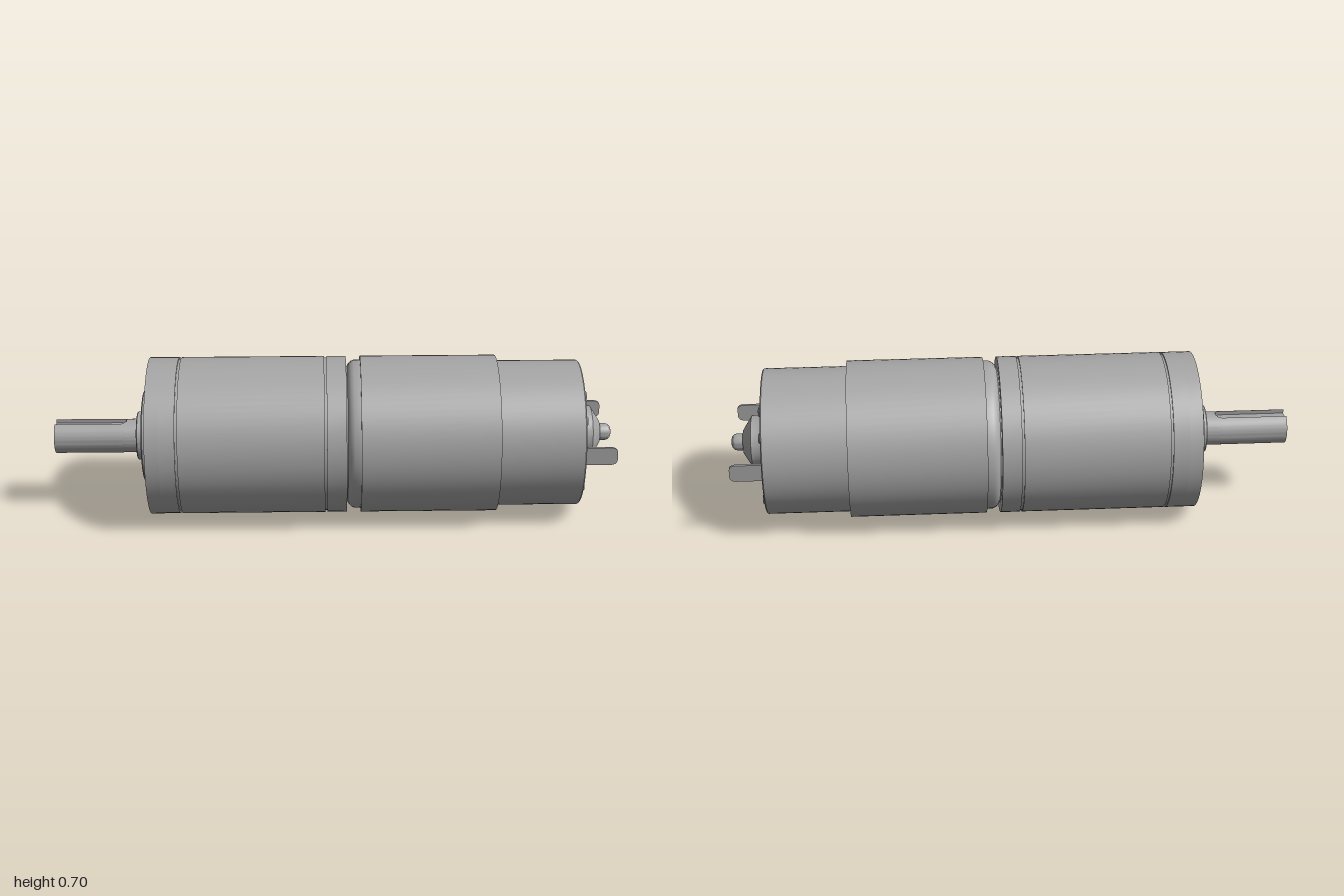
import * as THREE from 'three';
import { toCreasedNormals } from 'three/addons/utils/BufferGeometryUtils.js';

export function createModel() {
  const model = new THREE.Group();
  model.name = 'gearMotor';
  const steel = new THREE.MeshStandardMaterial({ color: 0xa6a6a6 });
  steel.name = 'grey steel';

  // Everything is built along +z (motor end), then turned 45 degrees.
  const axis = new THREE.Group();
  axis.name = 'motorAxis';
  axis.position.y = 0.352;
  axis.rotation.y = Math.PI / 4;
  model.add(axis);

  function add(name, geometry, crease = 0.5) {
    const mesh = new THREE.Mesh(toCreasedNormals(geometry, crease), steel);
    mesh.name = name;
    axis.add(mesh);
    return mesh;
  }
  // Turned part from [radius, z] pairs, z increasing
  function turned(name, pairs, segments = 72) {
    const pts = pairs.map(([r, z]) => new THREE.Vector2(r, z));
    return add(name, new THREE.LatheGeometry(pts, segments).rotateX(Math.PI / 2));
  }
  function extruded(name, shape, z0, z1) {
    const g = new THREE.ExtrudeGeometry(shape, { depth: z1 - z0, bevelEnabled: false, curveSegments: 36 });
    return add(name, g.translate(0, 0, z0));
  }
  const disc = (r) => new THREE.Shape().absarc(0, 0, r, 0, Math.PI * 2, false);
  const hole = (x, y, r) => new THREE.Path().absarc(x, y, r, 0, Math.PI * 2, true);

  // Gearbox mounting plate: four large and four small holes
  const plate = disc(0.35);
  for (let i = 0; i < 4; i++) {
    const a = i * Math.PI / 2, b = a + Math.PI / 4;
    plate.holes.push(hole(0.28 * Math.cos(a), 0.28 * Math.sin(a), 0.058));
    plate.holes.push(hole(0.25 * Math.cos(b), 0.25 * Math.sin(b), 0.034));
  }
  extruded('mountingPlate', plate, -0.912, -0.852);

  // Gearbox housing with two thin seams
  turned('gearbox', [
    [0, -0.852], [0.35, -0.852], [0.35, -0.781], [0.343, -0.781], [0.343, -0.771], [0.35, -0.771],
    [0.35, -0.136], [0.343, -0.136], [0.343, -0.126], [0.35, -0.126], [0.35, -0.04], [0, -0.04],
  ]);

  // Neck between gearbox and motor
  turned('neck', [
    [0.305, -0.045], [0.305, -0.035], [0.316, -0.029], [0.326, -0.02], [0.332, -0.006], [0.333, 0.025],
  ]);

  // Motor can: thick sleeve, then the narrower can with its rim
  turned('motorSleeve', [[0, 0.023], [0.35, 0.023], [0.35, 0.627], [0.32, 0.627]]);
  turned('motorCan', [
    [0.325, 0.62], [0.325, 0.993], [0.321, 0.998], [0.311, 0.998], [0.311, 0.958], [0, 0.958],
  ]);

  // End cap with a pocket for each terminal
  const cap = disc(0.312);
  for (const side of [-1, 1]) {
    const p = new THREE.Path();
    const a = side * 0.24, b = side * 0.295;
    p.moveTo(a, -0.075).lineTo(a, 0.075).lineTo(b, 0.075).lineTo(b, -0.075).closePath();
    cap.holes.push(p);
  }
  extruded('endCap', cap, 0.957, 0.988);

  // Pressed bead on the cap
  turned('capBead', [
    [0.234, 0.987], [0.228, 0.993], [0.218, 0.997], [0.208, 0.997], [0.198, 0.993], [0.192, 0.987],
  ].reverse().map(([r, z]) => [r, z]).reverse());

  // Rivets round the cap
  for (const q of [0, 90, 180, 270]) {
    for (const d of [33, 57]) {
      const a = THREE.MathUtils.degToRad(q + d);
      const rivet = turned('rivet', [[0.025, 0.986], [0.025, 1.0], [0.018, 1.007], [0, 1.009]], 18);
      rivet.position.set(0.284 * Math.cos(a), 0.284 * Math.sin(a), 0);
    }
  }

  // Bearing hub and rounded rear shaft tip
  turned('bearingHub', [
    [0.138, 0.987], [0.124, 1.0], [0.118, 1.012], [0.117, 1.056], [0.108, 1.062],
    [0.075, 1.083], [0.052, 1.097], [0, 1.097],
  ]);
  turned('rearShaftTip', [
    [0.038, 1.09], [0.038, 1.125], [0.034, 1.138], [0.024, 1.147], [0.012, 1.151], [0, 1.152],
  ], 32);

  // Flat terminals
  for (const side of [-1, 1]) {
    const tab = new THREE.Shape();
    tab.moveTo(0.957, -0.04).lineTo(1.115, -0.04).quadraticCurveTo(1.142, -0.038, 1.142, -0.015)
      .lineTo(1.142, 0.015).quadraticCurveTo(1.142, 0.038, 1.115, 0.04).lineTo(0.957, 0.04).closePath();
    const g = new THREE.ExtrudeGeometry(tab, { depth: 0.012, bevelEnabled: false, curveSegments: 6 });
    add('terminal', g.rotateY(-Math.PI / 2).translate(side * 0.265 + 0.006, 0, 0));
  }

  // Output boss with ring groove, and shaft collar
  turned('outputBoss', [
    [0.108, -0.941], [0.145, -0.941], [0.145, -0.931], [0.155, -0.931], [0.155, -0.941],
    [0.2, -0.941], [0.205, -0.936], [0.205, -0.911],
  ]);
  turned('shaftCollar', [
    [0.07, -0.966], [0.088, -0.966], [0.09, -0.972], [0.104, -0.972], [0.108, -0.968], [0.108, -0.93],
  ]);

  // Output shaft: keyway open at the tip, with a rounded inner end
  const R = 0.075;
  function shaftSlice(z0, z1, w) {
    const s = new THREE.Shape();
    const a = Math.acos(w / R), floor = 0.05;
    s.absarc(0, 0, R, Math.PI - a, Math.PI * 2 + a, false);
    s.lineTo(w, floor).lineTo(-w, floor).closePath();
    extruded('outputShaft', s, z0, z1);
  }
  const w = 0.03, steps = 6;
  shaftSlice(-1.338, -1.05, w);
  for (let i = 0; i < steps; i++) {
    const z = -1.05 + w * i / steps;
    shaftSlice(z, z + w / steps, w * Math.sqrt(1 - ((i + 0.5) / steps) ** 2));
  }
  extruded('outputShaft', disc(R), -1.02, -0.93);

  return model;
}
